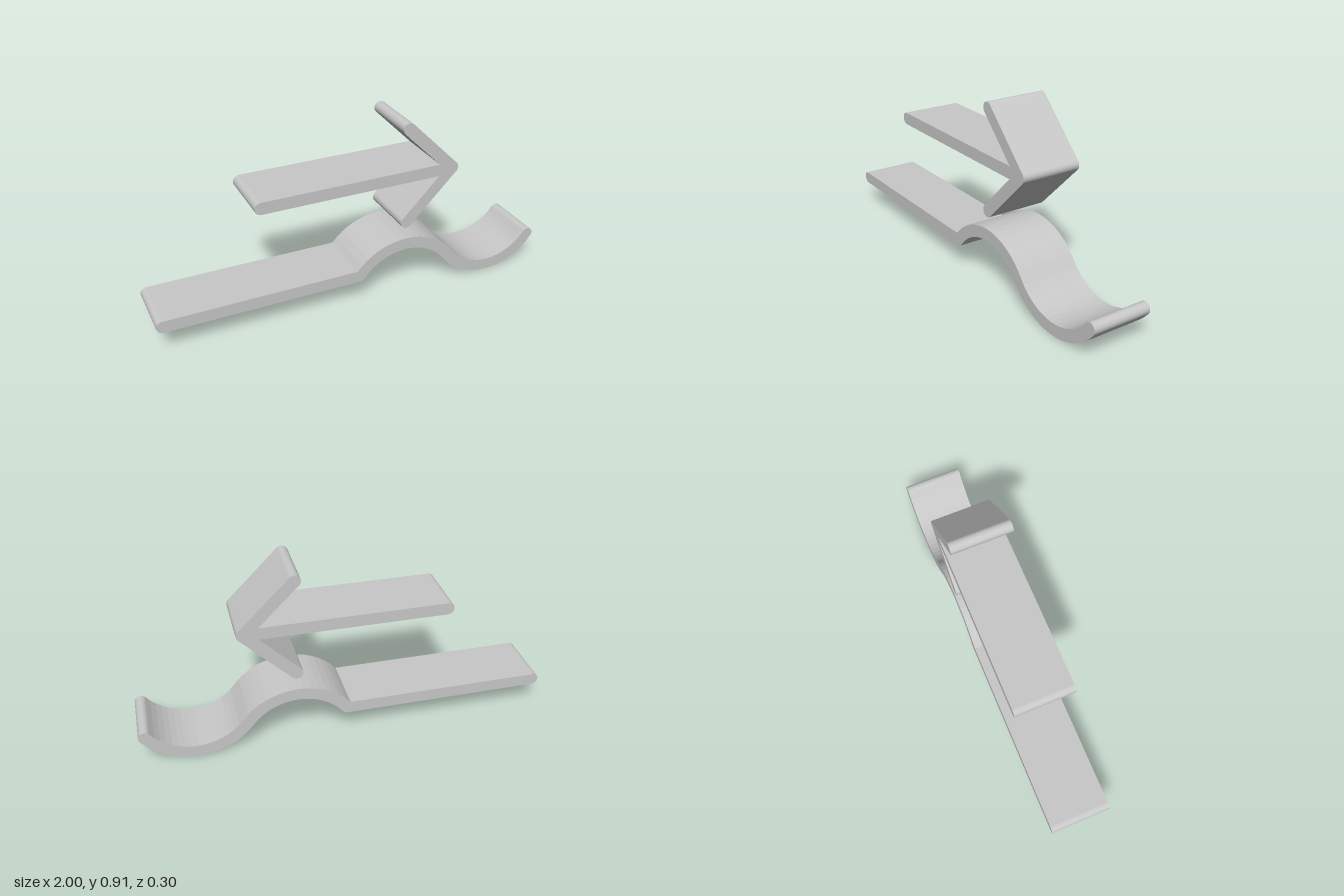
import * as THREE from 'three';

const UNIT = 0.97;      // length of the straight strip
const HALF = 0.03;      // half the strip thickness
const DEPTH = 0.3;
const PI = Math.PI;

function extrude(name, shape, material, y) {
  const geometry = new THREE.ExtrudeGeometry(shape, { depth: DEPTH, bevelEnabled: false, curveSegments: 8 });
  geometry.translate(0, y, -DEPTH / 2);
  const mesh = new THREE.Mesh(geometry, material);
  mesh.name = name;
  return mesh;
}

// Straight strip running into a hump and a dip, outlined around its centre line
function waveShape() {
  const q = UNIT / 4, rise = 0.1215;
  const r = (q * q + rise * rise) / (2 * rise);
  const drop = r - rise;
  const a = Math.atan2(drop, q);
  const outer = r + HALF, inner = r - HALF;
  const s = new THREE.Shape();
  s.absarc(-UNIT, 0, HALF, PI / 2, PI * 1.5, false);        // rounded tail
  s.absarc(0, 0, HALF, -PI / 2, -a, false);                 // rounded elbow
  s.absarc(q, -drop, inner, PI - a, a, true);               // under the hump
  s.absarc(3 * q, drop, outer, PI + a, 2 * PI - a, false);  // under the dip
  s.absarc(UNIT, 0, HALF, -a, PI - a, false);               // rounded end
  s.absarc(3 * q, drop, inner, 2 * PI - a, PI + a, true);   // over the dip
  s.absarc(q, -drop, outer, a, PI - Math.asin((drop + HALF) / outer), false); // over the hump
  s.closePath();
  return s;
}

// Arrow of three rounded strokes
function arrowShape() {
  const tip = UNIT / 2, barb = UNIT / 4;
  const notch = tip - HALF * Math.SQRT2 - HALF;
  const s = new THREE.Shape();
  s.absarc(-tip, 0, HALF, PI / 2, PI * 1.5, false);
  s.lineTo(notch, -HALF);
  s.absarc(barb, -barb, HALF, PI * 0.75, PI * 1.75, false);
  s.absarc(tip, 0, HALF, -PI / 4, PI / 4, false);
  s.absarc(barb, barb, HALF, PI / 4, PI * 1.25, false);
  s.lineTo(notch, HALF);
  s.closePath();
  return s;
}

export function createModel() {
  const grey = new THREE.MeshStandardMaterial({ color: 0xc8c8c8 });
  grey.name = 'light grey';
  const model = new THREE.Group();
  model.name = 'arrowOverWave';
  model.add(
    extrude('waveStrip', waveShape(), grey, 0.1515),
    extrude('arrow', arrowShape(), grey, 0.6365),
  );
  return model;
}
